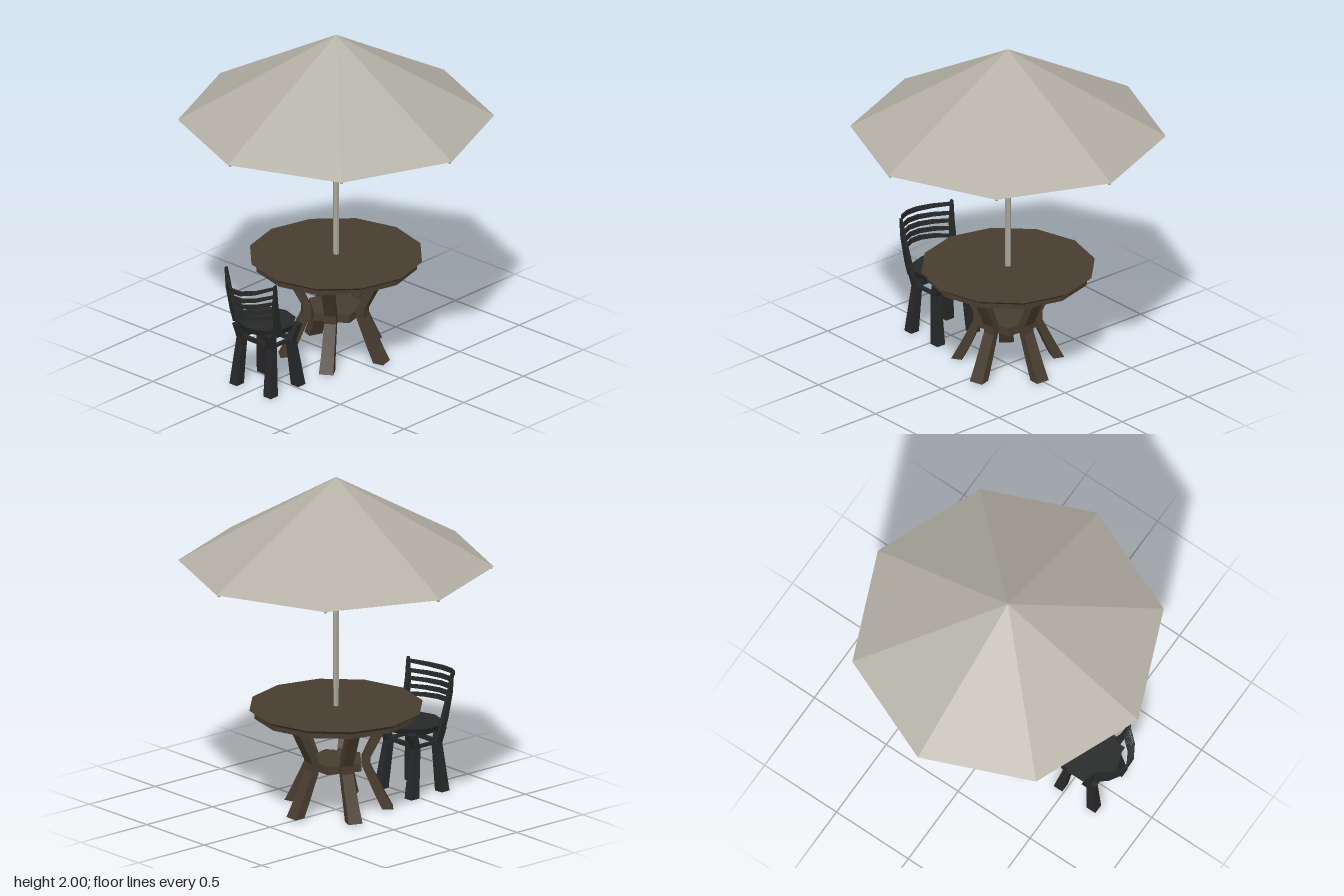
import * as THREE from 'three';

const mat = (name, color, extra = {}) => {
  const m = new THREE.MeshStandardMaterial({ color, flatShading: true, ...extra });
  m.name = name;
  return m;
};

// Square bar lofted through sections [x, y, z, halfU, halfV].
// axis 'y': u = z, v = x; axis 'x': u = y, v = z.
function bar(axis, sections) {
  const rings = sections.map(([x, y, z, hu, hv]) =>
    [[1, 1], [-1, 1], [-1, -1], [1, -1]].map(([u, v]) => axis === 'y'
      ? [x + v * hv, y, z + u * hu]
      : [x, y + u * hu, z + v * hv]));
  const pos = [];
  const quad = (a, b, c, d) => pos.push(...a, ...b, ...c, ...a, ...c, ...d);
  for (let i = 0; i < rings.length - 1; i++) {
    const a = rings[i], b = rings[i + 1];
    for (let j = 0; j < 4; j++) {
      const k = (j + 1) % 4;
      quad(a[j], a[k], b[k], b[j]);
    }
  }
  const s = rings[0], e = rings[rings.length - 1];
  quad(s[3], s[2], s[1], s[0]);
  quad(e[0], e[1], e[2], e[3]);
  const g = new THREE.BufferGeometry();
  g.setAttribute('position', new THREE.Float32BufferAttribute(pos, 3));
  g.computeVertexNormals();
  return g;
}

export function createModel() {
  const root = new THREE.Group();
  root.name = 'patioSet';
  const canvas = mat('canvas', 0xb4b0a5, { side: THREE.DoubleSide });
  const metal = mat('poleMetal', 0xa8a599);
  const wood = mat('brownWood', 0x483c2f);
  const black = mat('blackWood', 0x272829);

  const add = (parent, name, geometry, material, x = 0, y = 0, z = 0) => {
    const m = new THREE.Mesh(geometry, material);
    m.name = name;
    m.position.set(x, y, z);
    parent.add(m);
    return m;
  };
  const group = (name) => {
    const g = new THREE.Group();
    g.name = name;
    root.add(g);
    return g;
  };

  // Parasol: eight-sided canopy, ribs, struts and pole
  const parasol = group('parasol');
  add(parasol, 'canopy', new THREE.ConeGeometry(0.905, 0.52, 8, 1, true), canvas, 0, 1.74, 0);
  add(parasol, 'pole', new THREE.CylinderGeometry(0.022, 0.016, 1.38, 6), metal, 0, 1.28, 0);
  const rib = bar('x', [[0.01, 1.975, 0, 0.008, 0.009], [0.893, 1.474, 0, 0.007, 0.009]]);
  const strut = bar('x', [[0.01, 1.68, 0, 0.012, 0.006], [0.15, 1.89, 0, 0.012, 0.006]]);
  for (let i = 0; i < 8; i++) {
    add(parasol, 'rib', rib, metal).rotation.y = i * Math.PI / 4;
    if (i % 2) add(parasol, 'strut', strut, metal).rotation.y = i * Math.PI / 4;
  }

  // Table: bevelled twelve-sided top, five waisted legs joined by a hub
  const table = group('table');
  const rim = [[0, 0.575], [0.475, 0.575], [0.475, 0.603], [0.505, 0.625], [0, 0.625]];
  add(table, 'tableTop',
    new THREE.LatheGeometry(rim.map(([r, y]) => new THREE.Vector2(r, y)), 12), wood);
  const leg = bar('y', [
    [0.295, 0.01, 0, 0.042, 0.032], [0.25, 0.1, 0, 0.038, 0.03],
    [0.172, 0.27, 0, 0.034, 0.024], [0.172, 0.32, 0, 0.034, 0.024],
    [0.3, 0.58, 0, 0.036, 0.03],
  ]);
  for (let i = 0; i < 5; i++) {
    add(table, 'tableLeg', leg, wood).rotation.y = -(345 + 72 * i) * Math.PI / 180;
  }
  const hub = add(table, 'hub', new THREE.CylinderGeometry(0.175, 0.175, 0.05, 5), wood, 0, 0.285, 0);
  hub.rotation.y = -(345 - 90) * Math.PI / 180 - Math.PI;

  // Chair: faces the table, back towards the front
  const chair = group('chair');
  const seat = add(chair, 'seat', new THREE.CylinderGeometry(0.176, 0.16, 0.04, 10), black, 0, 0.39, 0.585);
  seat.scale.set(1, 1, 0.95);
  for (const s of [-1, 1]) {
    add(chair, 'backLeg', bar('y', [
      [s * 0.133, 0, 0.69, 0.03, 0.029], [s * 0.115, 0.29, 0.665, 0.022, 0.022],
      [s * 0.125, 0.38, 0.685, 0.026, 0.024]]), black);
    add(chair, 'frontLeg', bar('y', [
      [s * 0.133, 0, 0.46, 0.03, 0.029], [s * 0.115, 0.29, 0.5, 0.022, 0.022],
      [s * 0.125, 0.38, 0.465, 0.026, 0.024]]), black);
    add(chair, 'sideStretcher', bar('y', [
      [s * 0.115, 0.285, 0.583, 0.08, 0.01], [s * 0.115, 0.303, 0.583, 0.08, 0.01]]), black);
    add(chair, 'backPost', bar('y', [
      [s * 0.155, 0.375, 0.655, 0.022, 0.02], [s * 0.17, 0.45, 0.675, 0.018, 0.014],
      [s * 0.182, 0.6, 0.705, 0.013, 0.012], [s * 0.192, 0.72, 0.715, 0.008, 0.006]]), black);
  }
  for (const z of [0.5, 0.665]) {
    add(chair, 'crossStretcher', bar('x', [
      [-0.115, 0.296, z, 0.012, 0.01], [0.115, 0.296, z, 0.012, 0.01]]), black);
  }

  // Five slats bowed backwards: [end height, middle height, middle depth]
  const slats = [[0.7, 0.664, 0.843], [0.645, 0.617, 0.834], [0.6, 0.576, 0.825],
    [0.555, 0.536, 0.816], [0.51, 0.498, 0.807]];
  for (const [yEnd, yMid, zMid] of slats) {
    const zEnd = 0.71 - (0.7 - yEnd) * 0.12;
    const w = 0.172 + (yEnd - 0.5) * 0.08;
    const sections = [-1, -0.6, -0.2, 0.2, 0.6, 1].map((t) => {
      const k = Math.min(1, (1 - t * t) * 1.04);
      return [t * w, yEnd + (yMid - yEnd) * k, zEnd + (zMid - zEnd) * k, 0.01 + 0.004 * k, 0.006];
    });
    add(chair, 'backSlat', bar('x', sections), black);
  }
  return root;
}
